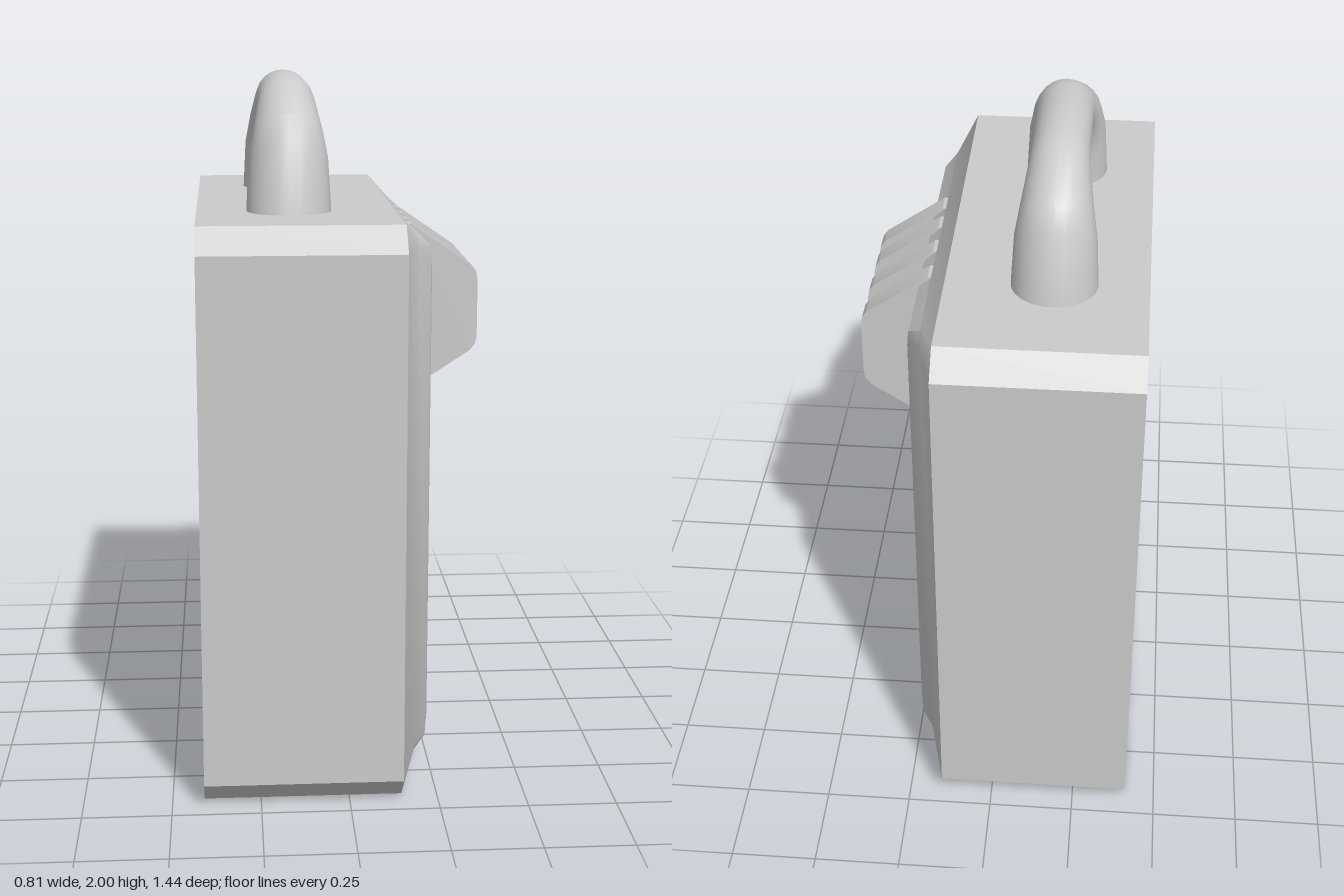
import * as THREE from 'three';
import { toCreasedNormals } from 'three/addons/utils/BufferGeometryUtils.js';

const material = new THREE.MeshStandardMaterial({ color: 0xcccccc });

// Skin a list of equal-length closed rings of [x, y, z] points and cap both ends
function loft(rings) {
  const n = rings[0].length, last = (rings.length - 1) * n, index = [];
  for (let i = 0; i < rings.length - 1; i++) {
    for (let j = 0; j < n; j++) {
      const k = (j + 1) % n;
      const a = i * n + j, b = i * n + k, c = b + n, d = a + n;
      index.push(a, b, c, a, c, d);
    }
  }
  for (let j = 1; j < n - 1; j++) {
    index.push(0, j + 1, j, last, last + j, last + j + 1);
  }
  const geometry = new THREE.BufferGeometry();
  geometry.setAttribute('position', new THREE.Float32BufferAttribute(rings.flat(2), 3));
  geometry.setIndex(index);
  return toCreasedNormals(geometry, 0.6);
}

// Rectangle with cut corners, lying in a plane of constant x
function cutRect([x, halfZ, y0, y1, cut]) {
  const z = halfZ - cut;
  return [
    [x, y1, -z], [x, y1, z], [x, y1 - cut, halfZ], [x, y0 + cut, halfZ],
    [x, y0, z], [x, y0, -z], [x, y0 + cut, -halfZ], [x, y1 - cut, -halfZ],
  ];
}

function handleGeometry() {
  // Per section: outer z, outer y, inner z, inner y, half width in x
  const half = [
    [0.445, 1.62, 0.21, 1.62, 0.12],
    [0.41, 1.835, 0.21, 1.71, 0.112],
    [0.37, 1.9, 0.19, 1.775, 0.1],
    [0.2, 1.985, 0.14, 1.83, 0.084],
    [0.14, 2.0, 0.085, 1.85, 0.08],
  ];
  const mirrored = half.map(([a, b, c, d, w]) => [-a, b, -c, d, w]).reverse();
  const sides = 24;
  const rings = [...half, ...mirrored].map(([oz, oy, iz, iy, w]) =>
    Array.from({ length: sides }, (_, k) => {
      const t = (k / sides) * Math.PI * 2, c = Math.cos(t) / 2;
      return [-0.15 + w * Math.sin(t), (oy + iy) / 2 + (oy - iy) * c, (oz + iz) / 2 + (oz - iz) * c];
    }));
  return loft(rings);
}

export function createModel() {
  const group = new THREE.Group();
  const add = (name, geometry) => {
    const mesh = new THREE.Mesh(geometry, material);
    mesh.name = name;
    group.add(mesh);
    return mesh;
  };

  // Case with cut corners and a raised front panel
  add('case', loft([
    [-0.41, 0.72, 0, 1.63, 0.07],
    [0.15, 0.72, 0, 1.63, 0.07],
    [0.2, 0.53, 0.065, 1.575, 0.03],
    [0.235, 0.48, 0.092, 1.545, 0.02],
    [0.245, 0.43, 0.13, 1.5, 0.02],
  ].map(cutRect)));

  add('handle', handleGeometry());

  // Four latch fins, extruded along z
  const profile = new THREE.Shape([
    [0.2, 1.105], [0.24, 1.105], [0.385, 1.2], [0.4, 1.22], [0.405, 1.24],
    [0.405, 1.41], [0.4, 1.435], [0.385, 1.455], [0.21, 1.575], [0.2, 1.575],
  ].map(([x, y]) => new THREE.Vector2(x, y)));
  const fin = toCreasedNormals(
    new THREE.ExtrudeGeometry(profile, { depth: 0.064, bevelEnabled: false }), 0.6);
  for (const z of [-0.235, -0.096, 0.039, 0.151]) {
    add('latchFin', fin).position.z = z;
  }

  // Block joining the fins
  add('latchBlock', new THREE.BoxGeometry(0.105, 0.23, 0.34)).position.set(0.2525, 1.325, -0.01);

  return group;
}
